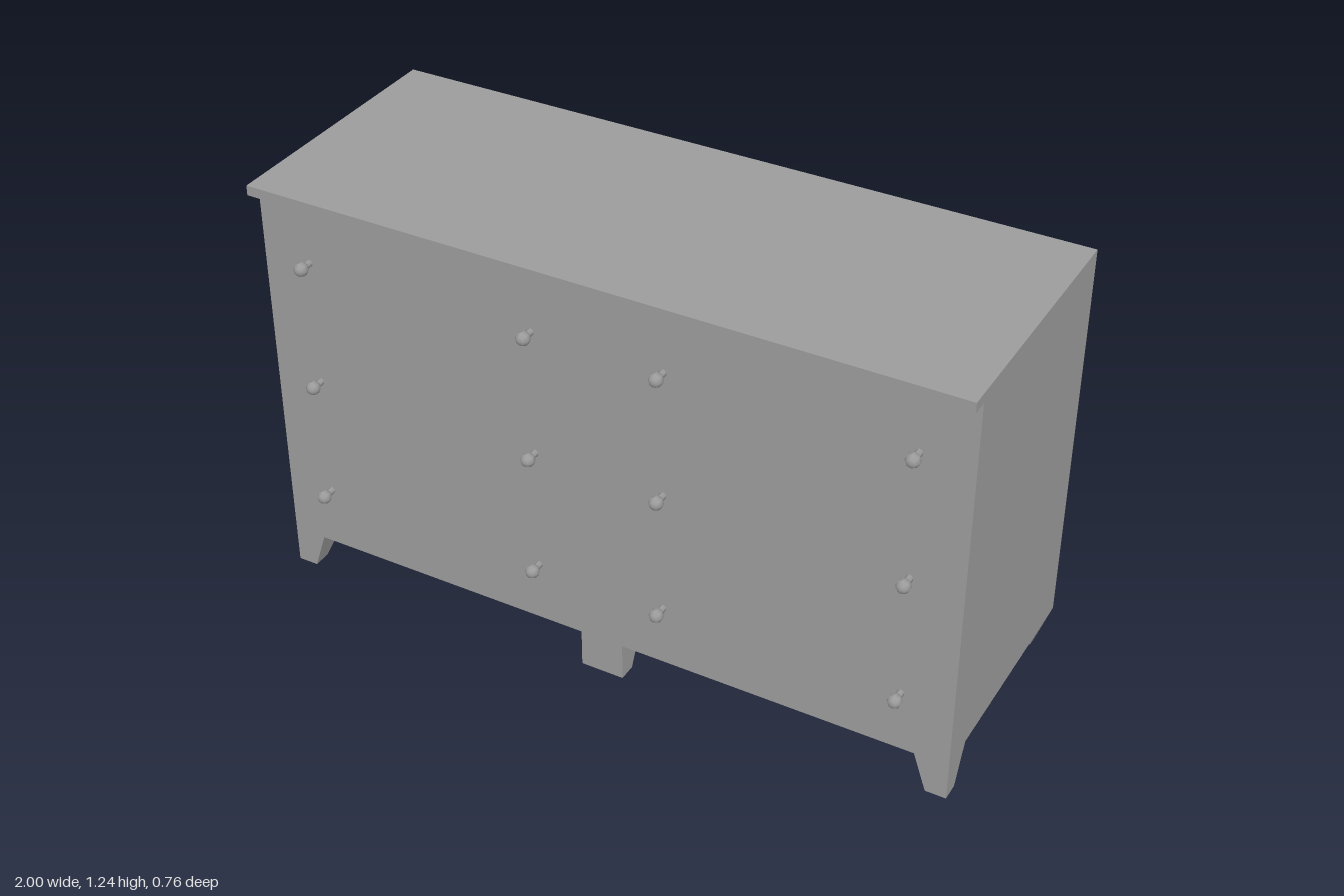
import * as THREE from 'three';

const material = new THREE.MeshStandardMaterial({ color: 0x9c9c9c, side: THREE.DoubleSide });
const BACK = -0.38, FRONT = 0.326, BASE = 0.111, SLAB = 1.207, TOP = 1.235;

function add(parent, name, geometry) {
  const mesh = new THREE.Mesh(geometry, material);
  mesh.name = name;
  parent.add(mesh);
  return mesh;
}

// Box given by its lower and upper limits
function block(parent, name, [x0, y0, z0], [x1, y1, z1]) {
  const g = new THREE.BoxGeometry(x1 - x0, y1 - y0, z1 - z0);
  g.translate((x0 + x1) / 2, (y0 + y1) / 2, (z0 + z1) / 2);
  return add(parent, name, g);
}

// Foot whose top and bottom rectangles [x0, x1, z0, z1] differ
function foot(parent, name, top, bottom) {
  const g = new THREE.BoxGeometry(1, 1, 1);
  const p = g.attributes.position;
  for (let i = 0; i < p.count; i++) {
    const upper = p.getY(i) > 0;
    const r = upper ? top : bottom;
    p.setXYZ(i, p.getX(i) < 0 ? r[0] : r[1], upper ? BASE : 0, p.getZ(i) < 0 ? r[2] : r[3]);
  }
  g.computeVertexNormals();
  return add(parent, name, g);
}

export function createModel() {
  const model = new THREE.Group();
  model.name = 'dresser';

  // Cabinet and the top board overhanging the front
  block(model, 'cabinet', [-1, BASE, BACK], [1, SLAB, FRONT]);
  block(model, 'topBoard', [-1, SLAB, BACK], [1, TOP, 0.372]);

  // Corner feet: front ones taper on the inner side, back ones on the outer side
  const mirror = ([x0, x1, z0, z1]) => [-x1, -x0, z0, z1];
  const corners = {
    FrontFoot: [[0.905, 1, 0.223, FRONT], [0.942, 1, 0.275, FRONT]],
    BackFoot: [[0.905, 1, BACK, -0.278], [0.905, 0.963, BACK, -0.333]],
  };
  for (const [name, [top, bottom]] of Object.entries(corners)) {
    foot(model, 'left' + name, top, bottom);
    foot(model, 'right' + name, mirror(top), mirror(bottom));
  }

  // Centre foot under the front edge
  foot(model, 'centreFoot', [-0.063, 0.062, 0.223, FRONT], [-0.063, 0.062, 0.275, FRONT]);

  // Drawer knobs: a short stem with a faceted ball
  const ball = new THREE.SphereGeometry(0.02, 8, 5).rotateX(Math.PI / 2);
  const stem = new THREE.CylinderGeometry(0.01, 0.01, 0.04, 6).rotateX(Math.PI / 2);
  for (const y of [0.293, 0.655, 1.023]) {
    for (const x of [-0.859, -0.188, 0.186, 0.857]) {
      const knob = new THREE.Group();
      knob.name = 'knob';
      add(knob, 'knobBall', ball).position.z = 0.362;
      add(knob, 'knobStem', stem).position.z = 0.339;
      knob.position.set(x, y, 0);
      model.add(knob);
    }
  }
  return model;
}
